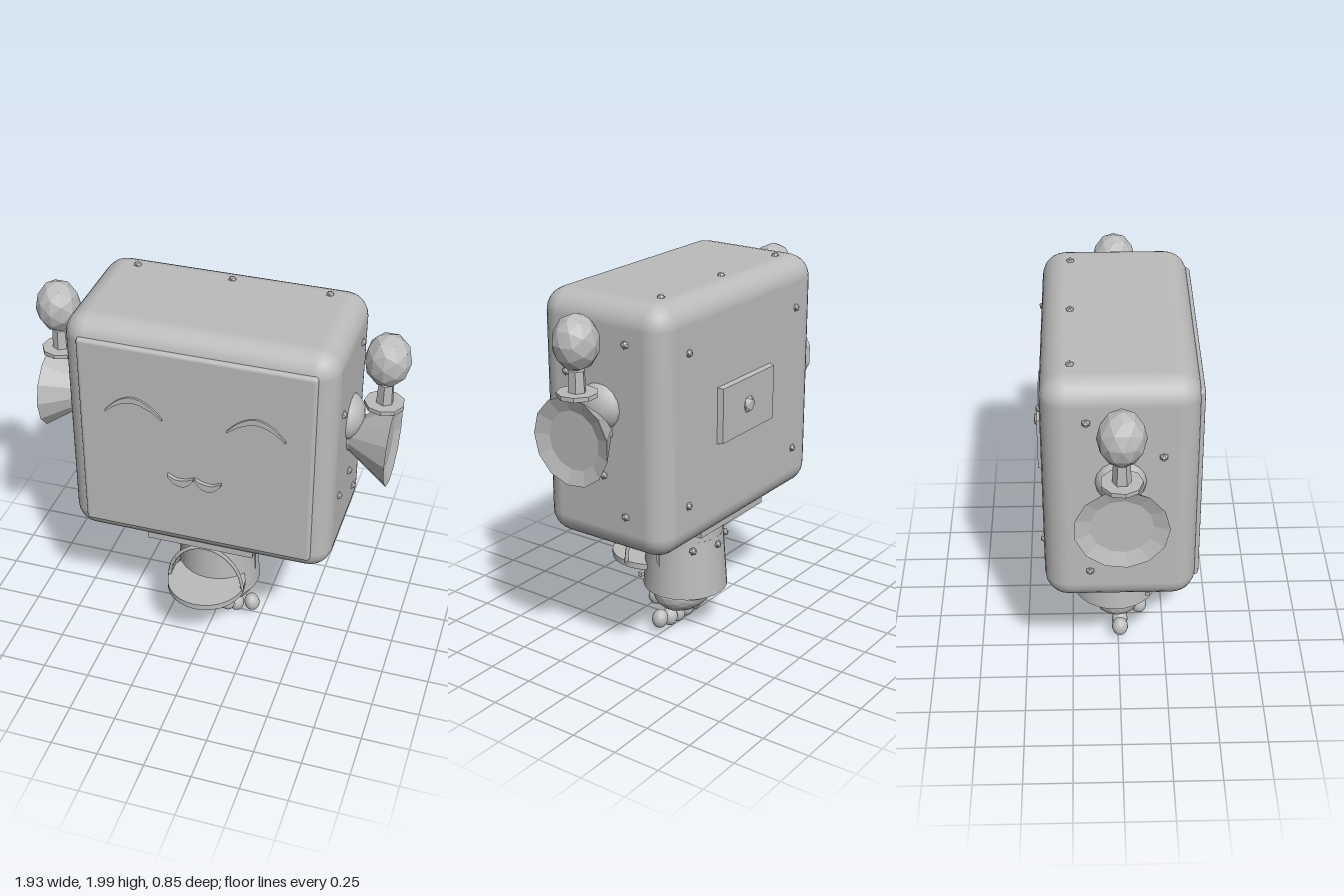
import * as THREE from 'three';
import { RoundedBoxGeometry } from 'three/addons/geometries/RoundedBoxGeometry.js';

export function createModel() {
  const model = new THREE.Group();
  const grey = new THREE.MeshStandardMaterial({ color: 0xbcbcbc });
  grey.name = 'grey metal';

  function add(name, geometry, x = 0, y = 0, z = 0, parent = model) {
    const mesh = new THREE.Mesh(geometry, grey);
    mesh.name = name;
    mesh.position.set(x, y, z);
    parent.add(mesh);
    return mesh;
  }
  // faceted version of a geometry
  function flat(geometry) {
    const g = geometry.index ? geometry.toNonIndexed() : geometry;
    g.computeVertexNormals();
    return g;
  }
  const box = (w, h, d) => new THREE.BoxGeometry(w, h, d);
  const ellipsoid = (rx, ry, rz, detail = 1) =>
    flat(new THREE.IcosahedronGeometry(1, detail).scale(rx, ry, rz));

  // head block and raised face panel
  add('head', new RoundedBoxGeometry(1.38, 1.28, 0.75, 3, 0.12), 0, 1.34, 0);
  add('facePanel', new RoundedBoxGeometry(1.2, 1.1, 0.05, 2, 0.02), 0, 1.34, 0.367);

  // closed ribbon following a list of points on the face
  function stroke(name, points, width, depth) {
    const path = new THREE.CatmullRomCurve3(points.map(p => new THREE.Vector3(p[0], p[1], 0)));
    const pts = path.getPoints(10);
    const taper = i => width * (0.35 + 0.65 * Math.sin(Math.PI * i / 10));
    const shape = new THREE.Shape();
    pts.forEach((p, i) => i ? shape.lineTo(p.x, p.y + taper(i) / 2) : shape.moveTo(p.x, p.y + taper(i) / 2));
    for (let i = 10; i >= 0; i--) shape.lineTo(pts[i].x, pts[i].y - taper(i) / 2);
    add(name, new THREE.ExtrudeGeometry(shape, { depth, bevelEnabled: false }), 0, 0, 0.388);
  }

  for (const s of [-1, 1]) {
    const side = s < 0 ? 'right' : 'left';

    // smiling eye and half of the mouth
    stroke(side + 'Eye', [[s * 0.46, 1.508], [s * 0.39, 1.57], [s * 0.31, 1.595], [s * 0.23, 1.565], [s * 0.165, 1.51]]
      .sort((a, b) => a[0] - b[0]), 0.032, 0.014);
    stroke(side + 'Mouth', [[s * 0.14, 1.185], [s * 0.09, 1.152], [s * 0.04, 1.158], [s * 0.005, 1.185]]
      .sort((a, b) => a[0] - b[0]), 0.04, 0.024);

    // ear horn with a shallow dish, swept about the x axis
    const ear = new THREE.Group();
    ear.name = side + 'Ear';
    model.add(ear);
    const profile = [[0, 0.64], [0.07, 0.64], [0.08, 0.7], [0.225, 0.91], [0.15, 0.885], [0, 0.885]]
      .map(p => new THREE.Vector2(p[0], p[1]));
    const horn = add('earHorn', flat(new THREE.LatheGeometry(profile, 13)), 0, 1.335, 0, ear);
    horn.rotation.z = -s * Math.PI / 2;
    add('earDome', new THREE.SphereGeometry(1, 12, 8).scale(0.09, 0.12, 0.13), s * 0.67, 1.45, 0, ear);

    // antenna standing on the horn
    add('antennaBase', flat(new THREE.CylinderGeometry(0.1, 0.1, 0.022, 9)), s * 0.85, 1.56, 0, ear);
    add('antennaStem', flat(new THREE.CylinderGeometry(0.04, 0.045, 0.11, 6)), s * 0.85, 1.62, 0, ear);
    add('antennaBall', ellipsoid(0.115, 0.14, 0.115), s * 0.85, 1.81, 0, ear);

    // flat discs under the head
    add(side + 'NeckDisc', new THREE.CylinderGeometry(0.2, 0.2, 0.04, 24), s * 0.22, 0.665, 0.05);
  }

  // small bolts: [x, y, z]
  const bolt = flat(new THREE.IcosahedronGeometry(0.022, 0));
  const bolts = [];
  for (const s of [-1, 1]) {
    for (const [y, z] of [[1.59, 0.2], [1.785, -0.16], [1.1, 0.2], [1.1, -0.02], [0.91, -0.15]])
      bolts.push([s * 0.69, y, z]);
    bolts.push([s * 0.62, 1.915, 0.3], [s * 0.62, 0.775, 0.3]);
    bolts.push([s * 0.5, 1.978, -0.23], [s * 0.48, 1.73, -0.375], [s * 0.48, 0.95, -0.375]);
    bolts.push([s * 0.15, 0.52, -0.17]);
  }
  bolts.push([0, 1.978, -0.23], [0, 0.52, -0.225]);
  bolts.forEach(p => add('bolt', bolt, ...p));

  // back hatch
  add('backHatch', flat(new THREE.CylinderGeometry(0.3253, 0.3394, 0.04, 4, 1, false, Math.PI / 4)
    .scale(1, 1, 0.62).rotateX(-Math.PI / 2)), 0, 1.345, -0.385);
  add('hatchKnob', ellipsoid(0.05, 0.05, 0.03, 0), 0, 1.345, -0.4);

  // neck plate, tapered body and hem
  add('neckPlate', box(0.57, 0.065, 0.64), 0, 0.717, 0.005);
  add('body', new THREE.CylinderGeometry(0.205, 0.215, 0.36, 28), 0, 0.52, -0.01);
  add('sleeve', new THREE.CylinderGeometry(0.205, 0.228, 0.32, 28), 0, 0.4, -0.015);
  add('cuff', new THREE.CylinderGeometry(0.17, 0.165, 0.04, 24), 0, 0.222, -0.015);
  for (const s of [-1, 1]) {
    add('sleeveSeam', box(0.012, 0.38, 0.014), s * 0.211, 0.47, 0.01);
    add('sleeveButton', box(0.075, 0.022, 0.02), s * 0.14, 0.3, 0.16);
  }

  // pointed hood at the front, lofted from half-ellipse sections: [z, half width, height]
  const sections = [[0.425, 0.02, 0.02], [0.41, 0.08, 0.055], [0.38, 0.125, 0.1], [0.31, 0.175, 0.19],
    [0.24, 0.2, 0.25], [0.14, 0.2, 0.18], [0, 0.19, 0.07]];
  const steps = 16, positions = [], indices = [];
  sections.forEach(([z, w, h], i) => {
    for (let j = 0; j <= steps; j++) {
      const a = Math.PI * j / steps;
      positions.push(w * Math.cos(a), h * Math.sin(a), z);
      if (i && j) {
        const b = i * (steps + 1) + j, a0 = b - steps - 1;
        indices.push(a0 - 1, a0, b - 1, a0, b, b - 1);
      }
    }
  });
  const hood = new THREE.BufferGeometry();
  hood.setAttribute('position', new THREE.Float32BufferAttribute(positions, 3));
  hood.setIndex(indices);
  hood.computeVertexNormals();
  add('hood', hood, 0, 0.36, 0);
  add('hoodSole', new THREE.CylinderGeometry(0.21, 0.21, 0.033, 28).scale(1, 1, 1.02), 0, 0.36, 0.215);
  add('hoodRim', new THREE.TorusGeometry(0.205, 0.01, 6, 24, Math.PI).scale(1, 1.2, 1), 0, 0.36, 0.23);

  // rounded underside with a cluster of toes
  add('palm', ellipsoid(0.2, 0.13, 0.15, 3), 0, 0.215, -0.005);
  for (const s of [-1, 1]) {
    for (const [x, y, z] of [[0.2, 0.09, 0.01], [0.09, 0.155, 0.115], [0.11, 0.065, 0.01], [0.04, 0.058, 0.01]]) {
      const toe = add('toe', ellipsoid(0.042, 0.052, 0.044, 2), s * x, y, z);
      toe.rotation.z = s * x * 1.2;
    }
  }
  return model;
}
